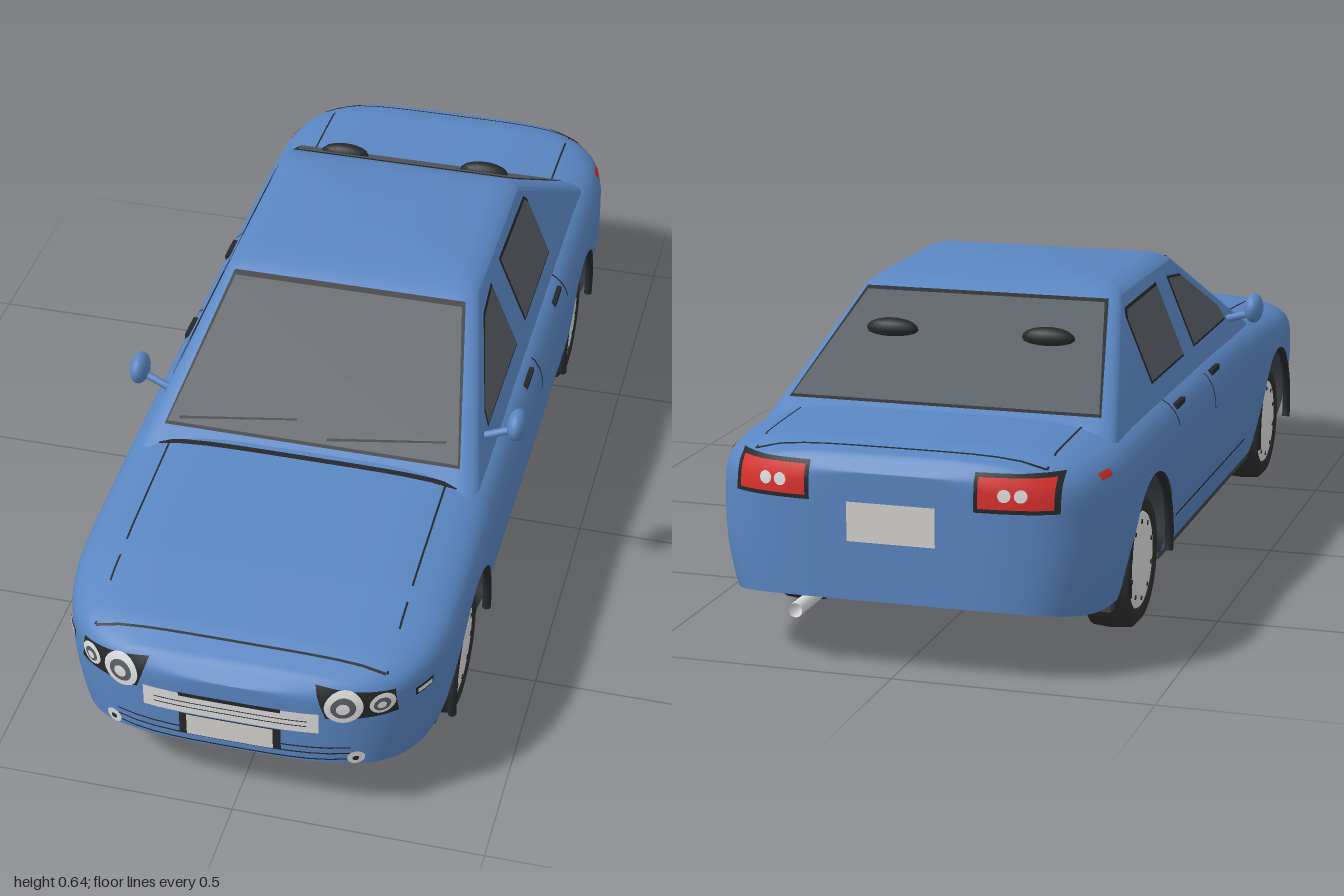
import * as THREE from 'three';
import { toCreasedNormals } from 'three/addons/utils/BufferGeometryUtils.js';

const mat = (name, color, side = THREE.FrontSide) => {
  const m = new THREE.MeshStandardMaterial({ color, side });
  m.name = name;
  return m;
};
const D = THREE.DoubleSide;

// Body shape rules: plan outline, top line, lower line with wheel arches
const END = 0.99, Z0 = 0.55, YS = 0.27, ARCH_Y = 0.145, ARCH_R = 0.165, AXLES = [0.585, -0.572];
const planPower = z => (z > 0 ? 3.5 : 5);
const TOP = [[-0.99, 0.385], [-0.965, 0.415], [-0.9, 0.43], [-0.6, 0.437], [0.2, 0.435], [0.4, 0.425],
  [0.73, 0.397], [0.89, 0.368], [0.96, 0.345], [0.99, 0.315]];
function topY(z) {
  for (let i = 1; i < TOP.length; i++) {
    const [a, ya] = TOP[i - 1], [b, yb] = TOP[i];
    if (z <= b) return ya + (yb - ya) * Math.max(0, (z - a) / (b - a));
  }
  return TOP[TOP.length - 1][1];
}
const endT = z => Math.min(1, Math.max(0, (Math.abs(z) - Z0) / (END - Z0)));
const planW = z => 0.39 * Math.pow(1 - Math.pow(endT(z), planPower(z)), 1 / planPower(z));
const inArch = z => AXLES.find(c => Math.abs(z - c) <= ARCH_R + 1e-6);
function lowY(z) {
  const c = inArch(z);
  if (c !== undefined) return ARCH_Y + Math.sqrt(Math.max(0, ARCH_R ** 2 - (z - c) ** 2));
  return 0.102 + (z > 0 ? 0.053 : 0.04) * endT(z) ** 3;
}
function halfW(z, y) {
  const top = topY(z);
  if (y >= top) return 0;
  if (y > YS) return planW(z) * Math.pow(1 - Math.pow((y - YS) / (top - YS), 4.5), 1 / 4.5);
  return planW(z) * (1 - 0.08 * ((YS - y) / 0.17) ** 2);
}
// Points on the body surface, seen from an end, from above and from a side
function endZ(x, y, dir) {
  let a = 0.3, b = END;
  for (let i = 0; i < 30; i++) {
    const m = (a + b) / 2;
    if (halfW(m * dir, y) >= Math.abs(x)) a = m; else b = m;
  }
  return a * dir;
}
const onEnd = (dir, off) => (x, y) => [x, y, endZ(x, y, dir) + dir * off];
const onTop = (x, z) => [x, YS + (topY(z) - YS) * Math.pow(1 - Math.pow(Math.min(1, Math.abs(x) / planW(z)), 4.5), 1 / 4.5) + 0.002, z];
const onSide = s => (z, y) => [s * (halfW(z, y) + 0.002), y, z];

// Surface through rows of points
function grid(rows) {
  const n = rows[0].length, idx = [];
  for (let i = 0; i + 1 < rows.length; i++) for (let j = 0; j + 1 < n; j++) {
    const a = i * n + j, c = a + n;
    idx.push(a, c, a + 1, a + 1, c, c + 1);
  }
  const g = new THREE.BufferGeometry();
  g.setAttribute('position', new THREE.Float32BufferAttribute(rows.flat(2), 3));
  g.setIndex(idx);
  g.computeVertexNormals();
  return g;
}

export function createModel() {
  const car = new THREE.Group();
  car.name = 'car';
  const paint = mat('bluePaint', 0x5a86c2), glass = mat('glass', 0x595e65, D), dark = mat('darkTrim', 0x25272a, D),
    under = mat('underbody', 0x3f444b, D), tyre = mat('rubber', 0x2f2f2f), silver = mat('silver', 0xdcdcdc, D),
    red = mat('redLamp', 0xd8302c, D), plate = mat('plateGrey', 0xd6d4d0, D);
  const add = (name, geo, m, p = [0, 0, 0], parent = car) => {
    const mesh = new THREE.Mesh(geo, m);
    mesh.name = name;
    mesh.position.set(...p);
    parent.add(mesh);
    return mesh;
  };
  // Thin four-cornered plate laid on a surface
  const lay = (name, q, on, m) => {
    const rows = [];
    for (let i = 0; i <= 4; i++) {
      const row = [];
      for (let j = 0; j <= 12; j++) {
        const v = i / 4, u = j / 12;
        row.push(on(...[0, 1].map(k => (1 - v) * ((1 - u) * q[0][k] + u * q[1][k]) + v * ((1 - u) * q[3][k] + u * q[2][k]))));
      }
      rows.push(row);
    }
    return add(name, grid(rows), m);
  };
  const rect = (a, b, c, d) => [[a, c], [b, c], [b, d], [a, d]];
  // Thin round plate laid on a surface
  const disc = (name, x, y, r, on, m) => {
    const ring = k => Array.from({ length: 21 }, (_, i) => on(x + k * r * Math.cos(Math.PI * i / 10), y + k * r * Math.sin(Math.PI * i / 10)));
    return add(name, grid([ring(1), ring(0.5), ring(0)]), m);
  };

  // Body shell lofted along the length, open over the wheels
  const zs = [-0.25, -0.1, 0, 0.1, 0.25];
  for (const c of AXLES) {
    zs.push(c - ARCH_R - 0.001, c + ARCH_R + 0.001);
    for (let i = 0; i <= 20; i++) zs.push(c + ARCH_R * Math.cos(Math.PI * i / 20));
  }
  for (const s of [1, -1]) for (let i = 1; i <= 28; i++) {
    const z = s * (Z0 + (END - Z0) * Math.pow(Math.sin(Math.PI / 2 * i / 28), 2 / planPower(s)));
    if (Math.abs(z) > 0.76) zs.push(z);
  }
  zs.sort((a, b) => a - b);
  const section = z => {
    const half = [], low = lowY(z), top = topY(z);
    for (let i = 0; i <= 14; i++) {
      const a = Math.PI / 2 * i / 14;
      half.push([planW(z) * Math.pow(Math.sin(a), 2 / 4.5), YS + (top - YS) * Math.pow(Math.max(0, Math.cos(a)), 2 / 4.5)]);
    }
    for (let i = 1; i <= 6; i++) half.push([0, YS + (Math.min(low, YS) - YS) * i / 6]);
    const pts = half.map(([x, y], i) => (i > 14 || y < low ? [halfW(z, Math.max(y, low)), Math.max(y, low), z] : [x, y, z]));
    return [...pts.slice(1).reverse().map(([x, y]) => [-x, y, z]), ...pts];
  };
  const rows = zs.map(section);
  add('bodyShell', grid(rows), paint);

  // Underside, wheel wells and floor
  add('underside', grid(rows.map(r => [r[0], r[r.length - 1]])), under);
  const edge = zs.filter(z => Math.abs(z) < 0.78).map(z => [inArch(z) !== undefined ? 0.25 : halfW(z, 0.105) - 0.005, z]);
  const floor = new THREE.Shape([...edge, ...edge.slice().reverse().map(([x, z]) => [-x, z])].map(p => new THREE.Vector2(...p)));
  add('floor', new THREE.ExtrudeGeometry(floor, { depth: 0.018, bevelEnabled: false }).rotateX(Math.PI / 2), under, [0, 0.105, 0]);
  add('innerWells', new THREE.BoxGeometry(0.5, 0.2, 1.5), dark, [0, 0.2, 0]);

  // Cabin: rounded rectangles stacked upward
  const LEVELS = [[0.4, 0.352, 0.445, -0.755], [0.612, 0.265, 0.07, -0.405], [0.624, 0.25, 0.045, -0.38],
    [0.632, 0.215, 0, -0.34], [0.636, 0.001, -0.17, -0.171]];
  const ring = ([y, w, zf, zb]) => {
    const r = Math.min(0.04, w * 0.4, (zf - zb) * 0.4), out = [];
    for (let q = 0; q < 4; q++) for (let k = 0; k <= 4; k++) {
      const a = Math.PI / 2 * (q + k / 4);
      out.push([(q === 0 || q === 3 ? w - r : r - w) + r * Math.cos(a), y, (q < 2 ? zf - r : zb + r) + r * Math.sin(a)]);
    }
    return [...out, out[0]];
  };
  add('cabin', toCreasedNormals(grid(LEVELS.map(ring)), 0.5), paint);
  const at = (k, y) => LEVELS[0][k] + (LEVELS[1][k] - LEVELS[0][k]) * (y - 0.4) / 0.212;

  // Windows: a flat pane over a slightly larger dark frame
  const pane = (name, pts, on) => {
    const c = [0, 1].map(k => pts.reduce((s, p) => s + p[k], 0) / pts.length);
    [['Frame', 0.005, 0.0015, dark], ['Glass', 0, 0.0035, glass]].forEach(([part, grow, off, m]) => {
      const rim = pts.map(([a, b]) => on(a + Math.sign(a - c[0]) * grow, b + Math.sign(b - c[1]) * grow, off));
      add(name + part, grid([rim, rim.map(() => on(c[0], c[1], off))].map(r => [...r, r[0]])), m);
    });
  };
  const onScreen = (x, y, o) => [x, y, at(2, y) + 2 * o];
  pane('windscreen', [[-0.303, 0.437], [0.303, 0.437], [0.241, 0.607], [-0.241, 0.607]], onScreen);
  pane('rearWindow', [[-0.308, 0.447], [0.308, 0.447], [0.246, 0.607], [-0.246, 0.607]], (x, y, o) => [x, y, at(3, y) - 2 * o]);
  for (const s of [1, -1]) {
    const on = (z, y, o) => [s * (at(1, y) + o), y, z];
    pane('frontSideWindow', [[0.25, 0.447], [0.235, 0.475], [0.06, 0.573], [-0.035, 0.585], [-0.035, 0.447]], on);
    pane('rearSideWindow', [[-0.13, 0.447], [-0.13, 0.588], [-0.375, 0.585], [-0.39, 0.57], [-0.39, 0.447]], on);
  }
  // Wipers and cowl line
  for (const x of [-0.28, 0.03])
    lay('wiper', [[x, 0.442], [x + 0.24, 0.459], [x + 0.24, 0.461], [x, 0.445]], (a, b) => onScreen(a, b, 0.005), dark);
  lay('cowl', rect(-0.31, 0.31, 0.417, 0.43), onTop, dark);

  // Bonnet and boot seams
  lay('bonnetFrontSeam', rect(-0.285, 0.285, 0.913, 0.918), onTop, dark);
  lay('bootRearSeam', rect(-0.28, 0.28, -0.942, -0.937), onTop, dark);
  for (const s of [1, -1]) {
    lay('bonnetSideSeam', rect(s * 0.285, s * 0.289, 0.43, 0.915), onTop, dark);
    lay('bootSideSeam', rect(s * 0.279, s * 0.283, -0.7, -0.94), onTop, dark);
  }

  // Nose: grille, number plate, lower slats
  const nose = o => onEnd(1, o), tail = o => onEnd(-1, o);
  lay('grille', rect(-0.172, 0.172, 0.232, 0.28), nose(0.005), silver);
  lay('grilleTop', rect(-0.1, 0.1, 0.275, 0.284), nose(0.007), dark);
  for (const y of [0.248, 0.26]) lay('grilleSlat', rect(-0.15, 0.15, y, y + 0.002), nose(0.007), dark);
  lay('frontPlateFrame', rect(-0.1, 0.1, 0.183, 0.232), nose(0.007), dark);
  lay('frontPlate', rect(-0.085, 0.085, 0.183, 0.232), nose(0.009), plate);
  for (const y of [0.162, 0.177, 0.192]) lay('bumperSlat', rect(-0.23, 0.23, y, y + 0.003), nose(0.004), dark);
  lay('rearPlate', rect(-0.085, 0.085, 0.255, 0.33), tail(0.004), plate);

  for (const s of [1, -1]) {
    // Front lamps
    lay('headlampHousing', [[s * 0.185, 0.27], [s * 0.312, 0.268], [s * 0.306, 0.32], [s * 0.162, 0.338]], nose(0.004), dark);
    for (const [x, r] of [[0.218, 0.036], [0.286, 0.022]]) {
      disc('headlamp', s * x, 0.298, r, nose(0.006), silver);
      disc('headlampLens', s * x, 0.298, r * 0.65, nose(0.008), glass);
      disc('headlampBulb', s * x, 0.298, r * 0.35, nose(0.01), silver);
    }
    disc('fogLamp', s * 0.24, 0.168, 0.016, nose(0.006), silver);
    disc('fogLampBulb', s * 0.24, 0.168, 0.006, nose(0.008), dark);
    // Tail lamps
    lay('tailLampFrame', rect(s * 0.158, s * 0.312, 0.328, 0.4), tail(0.003), dark);
    lay('tailLamp', rect(s * 0.166, s * 0.302, 0.336, 0.393), tail(0.005), red);
    for (const x of [0.215, 0.245]) disc('reverseLamp', s * x, 0.362, 0.012, tail(0.007), silver);

    // Side seams, handles and markers
    const side = onSide(s);
    lay('frontDoorSeam', rect(-0.062, -0.067, 0.32, 0.41), side, dark);
    lay('rearDoorSeam', rect(-0.362, -0.367, 0.355, 0.412), side, dark);
    lay('sillSeam', rect(0.27, -0.37, 0.168, 0.173), side, dark);
    lay('frontMarkerFrame', rect(0.892, 0.848, 0.281, 0.299), side, dark);
    lay('frontMarker', rect(0.888, 0.852, 0.285, 0.295), onSide(s * 1.004), silver);
    lay('rearMarker', rect(-0.825, -0.868, 0.371, 0.384), side, red);
    for (const z of [0, -0.31])
      add('doorHandle', new THREE.BoxGeometry(0.01, 0.011, 0.066), dark, [s * (halfW(z, 0.387) + 0.001), 0.387, z]);
    // Mirror on a stalk
    add('mirror', new THREE.SphereGeometry(1, 20, 14).scale(0.02, 0.032, 0.036), paint, [s * 0.398, 0.468, 0.267]);
    const stalk = new THREE.LineCurve3(new THREE.Vector3(s * 0.325, 0.435, 0.28), new THREE.Vector3(s * 0.395, 0.457, 0.267));
    add('mirrorStalk', new THREE.TubeGeometry(stalk, 1, 0.008, 8), paint);
    // Rear shelf speaker
    add('speaker', new THREE.SphereGeometry(1, 16, 10).scale(0.054, 0.022, 0.02), dark, [s * 0.16, 0.55, -0.518]);

    // Wheels and arch lips
    for (const z of AXLES) {
      const start = -0.22;
      add('archLip', new THREE.TorusGeometry(ARCH_R, 0.009, 8, 32, Math.PI - 2 * start).rotateZ(start).rotateY(Math.PI / 2),
        dark, [s * 0.378, ARCH_Y, z]);
      const wheel = new THREE.Group();
      wheel.name = 'wheel';
      wheel.position.set(s * 0.317, 0.135, z);
      wheel.rotation.z = -s * Math.PI / 2;
      const prof = [[0.001, -0.035], [0.08, -0.047], [0.115, -0.047], [0.132, -0.035], [0.135, 0], [0.132, 0.035],
        [0.117, 0.048], [0.098, 0.046], [0.094, 0.036]].map(p => new THREE.Vector2(...p));
      add('tyre', new THREE.LatheGeometry(prof, 32), tyre, [0, 0, 0], wheel);
      const cap = [[0.097, 0.036], [0.093, 0.045], [0.06, 0.047], [0.03, 0.05], [0.0005, 0.051]].map(p => new THREE.Vector2(...p));
      add('hubcap', new THREE.LatheGeometry(cap, 32), silver, [0, 0, 0], wheel);
      for (let i = 0; i < 10; i++) {
        const a = Math.PI * i / 5;
        add('hubHole', new THREE.CylinderGeometry(0.005, 0.005, 0.005, 8), dark, [0.077 * Math.cos(a), 0.045, 0.077 * Math.sin(a)], wheel);
      }
      car.add(wheel);
    }
  }
  // Exhaust pipe
  add('exhaust', new THREE.CylinderGeometry(0.014, 0.014, 0.12, 14, 1, true).rotateX(Math.PI / 2), silver, [0.2, 0.103, -0.905]);
  return car;
}
